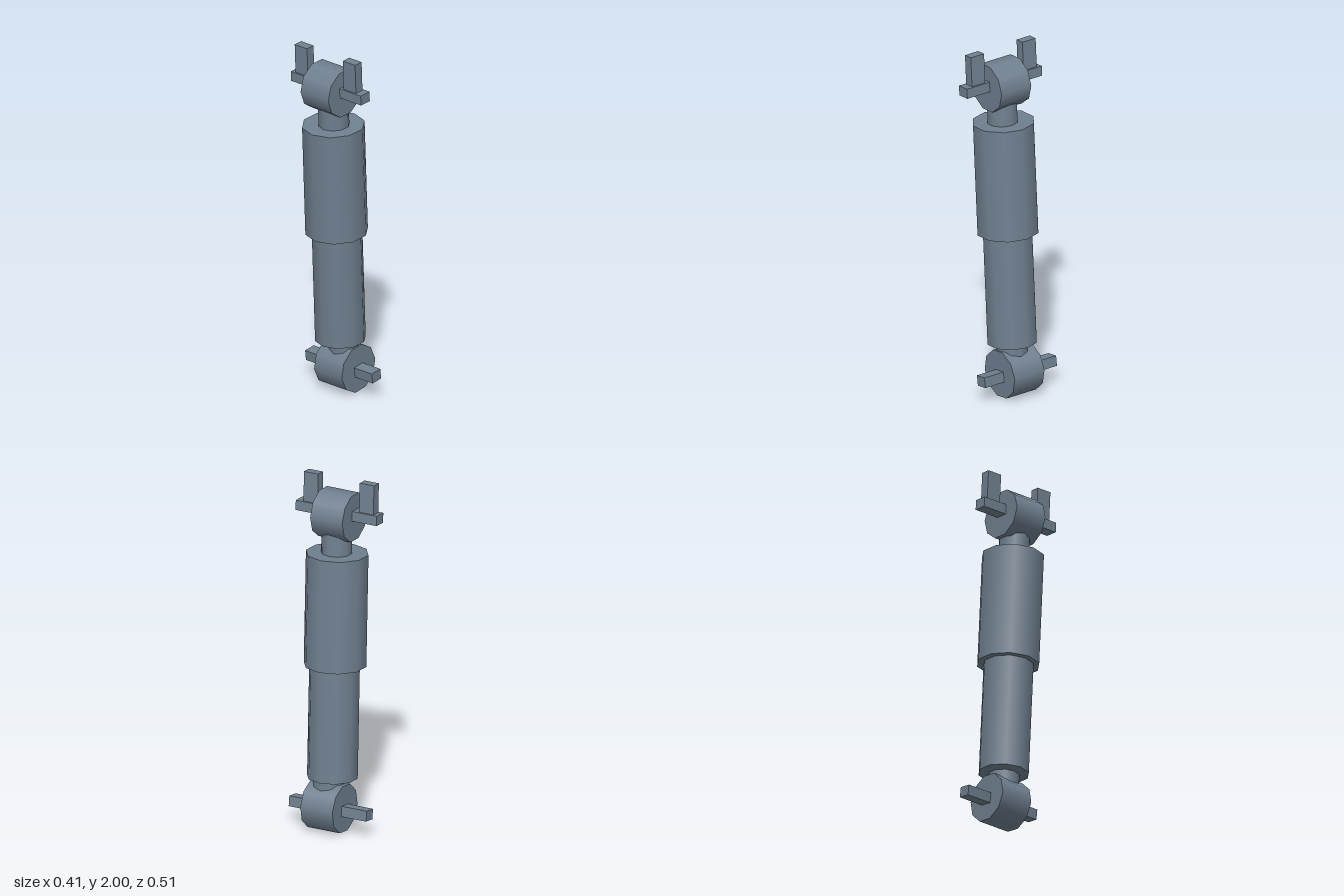
import * as THREE from 'three';

const LEAN = 0.052;       // sideways lean of the damper axis
const PITCH = 0.009;      // tiny forward lean
const SIDES = 10;

export function createModel() {
  const model = new THREE.Group();
  model.name = 'shockAbsorber';
  const steel = new THREE.MeshStandardMaterial({ color: 0x708090 });
  steel.name = 'blue grey steel';

  function add(name, geometry, x, y, z, roll = LEAN) {
    const mesh = new THREE.Mesh(geometry, steel);
    mesh.name = name;
    mesh.position.set(x, y, z);
    mesh.rotation.set(PITCH, 0, roll);
    model.add(mesh);
  }

  // Ten-sided cylinder with corners on the +x and -x sides
  const tube = (radius, length) =>
    new THREE.CylinderGeometry(radius, radius, length, SIDES, 1, false, Math.PI / 2);

  // Telescoping bodies
  add('upperBody', tube(0.173, 0.638), -0.014, 1.255, 0);
  add('lowerBody', tube(0.14, 0.64), 0.02, 0.617, -0.003);

  // Rods joining the bodies to the eyes
  add('upperRod', tube(0.085, 0.24), -0.034, 1.64, 0.008);
  add('lowerRod', tube(0.087, 0.2), 0.055, 0.25, 0.008);

  // Mounting eyes, lying front to back
  const eye = tube(0.137, 0.2).rotateX(Math.PI / 2);
  add('upperEye', eye, -0.048, 1.79, 0.003, LEAN);
  add('lowerEye', eye, 0.066, 0.139, -0.001, 0.13);

  // Pins through the eyes
  add('upperPin', new THREE.BoxGeometry(0.072, 0.056, 0.505), -0.055, 1.804, 0.003);
  add('lowerPin', new THREE.BoxGeometry(0.069, 0.058, 0.483), 0.069, 0.13, -0.015, 0.13);

  // Upright tabs at both ends of the upper pin
  const tab = new THREE.BoxGeometry(0.053, 0.19, 0.089);
  add('frontTab', tab, -0.061, 1.904, 0.17);
  add('backTab', tab, -0.061, 1.904, -0.178);

  return model;
}
